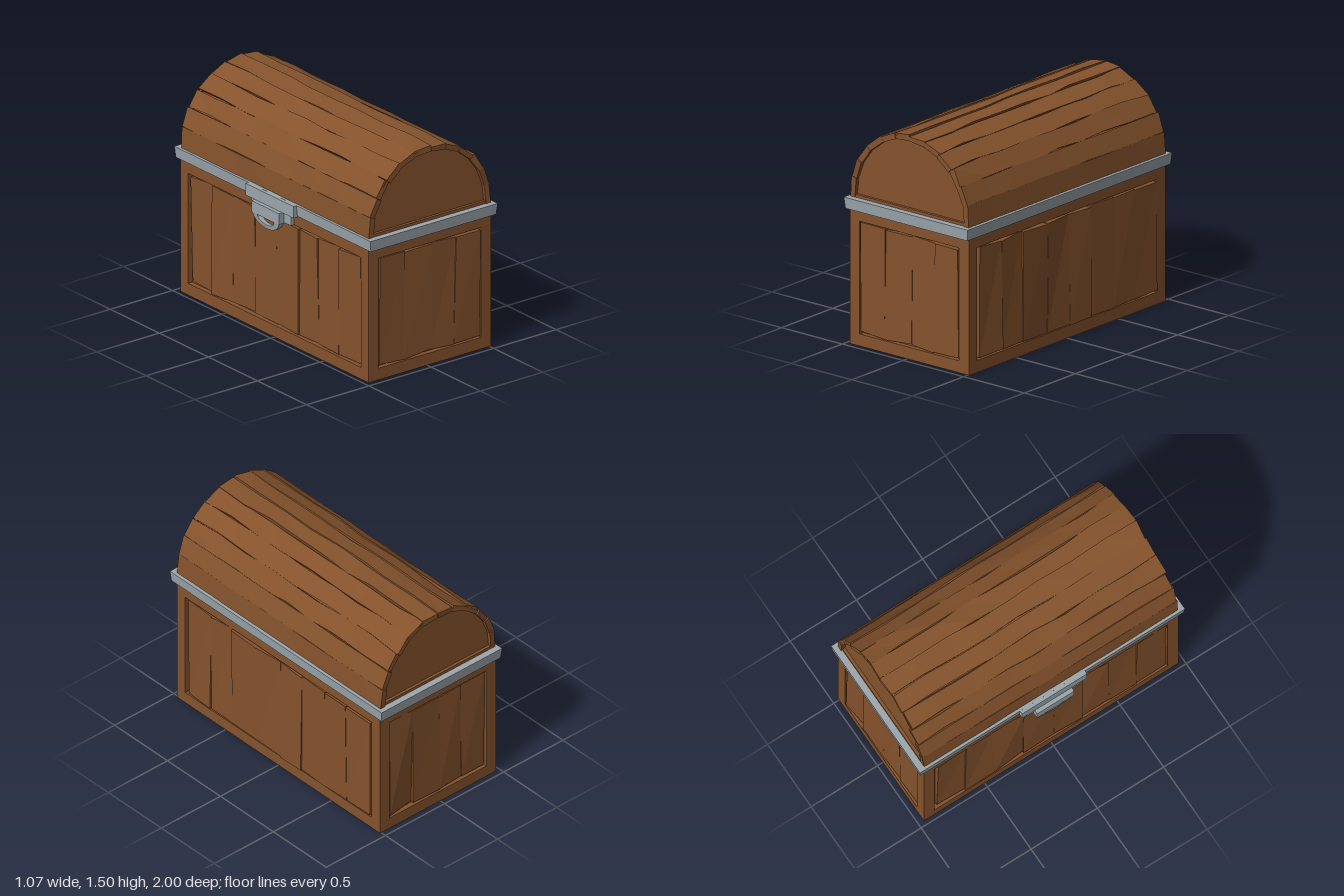
import * as THREE from 'three';

const wood = new THREE.MeshStandardMaterial({ color: 0x85532d });
wood.name = 'wood';
const metal = new THREE.MeshStandardMaterial({ color: 0x9ca7ac });
metal.name = 'metal';

const CX = 0.02; // the body sits slightly off centre to make room for the lock

// repeatable noise in -1..1
function noise(a, b = 0, c = 0) {
  const s = Math.sin(a * 12.99 + b * 78.23 + c * 37.72) * 43758.5453;
  return (s - Math.floor(s)) * 2 - 1;
}

function add(parent, name, geometry, material, x = 0, y = 0, z = 0) {
  const mesh = new THREE.Mesh(geometry, material);
  mesh.name = name;
  mesh.position.set(x, y, z);
  parent.add(mesh);
  return mesh;
}

// move every vertex by a rule and give each face its own flat normal
function reshape(geometry, rule) {
  const g = geometry.index ? geometry.toNonIndexed() : geometry;
  const p = g.attributes.position;
  const v = new THREE.Vector3();
  for (let i = 0; i < p.count; i++) {
    rule(v.fromBufferAttribute(p, i));
    p.setXYZ(i, v.x, v.y, v.z);
  }
  g.computeVertexNormals();
  return g;
}

function rectangle(x0, y0, x1, y1, Type = THREE.Shape) {
  return new Type([[x0, y0], [x1, y0], [x1, y1], [x0, y1]].map(p => new THREE.Vector2(...p)));
}

// half-ellipse arch standing on a straight foot
function arch(rx, top, foot, Type = THREE.Shape) {
  const pts = [];
  const spring = 0.99;
  for (let i = 0; i <= 12; i++) {
    const a = Math.PI * i / 12;
    pts.push(new THREE.Vector2(rx * Math.cos(a), Math.max(foot, spring + (top - spring) * Math.sin(a))));
  }
  if (foot < spring) pts.push(new THREE.Vector2(-rx, foot), new THREE.Vector2(rx, foot));
  return new Type(pts);
}

const extrude = (shape, depth) => new THREE.ExtrudeGeometry(shape, { depth, bevelEnabled: false });

// framed wall facing +z with uneven upright planks set in it
function wall(name, halfWidth, halfHole, edges, out, seed) {
  const group = new THREE.Group();
  group.name = name;
  const frame = rectangle(-halfWidth, 0, halfWidth, 0.92);
  frame.holes.push(rectangle(-halfHole, 0.08, halfHole, 0.83, THREE.Path));
  add(group, 'frame', extrude(frame, 0.035), wood, 0, 0, -0.035);
  for (let i = 0; i < edges.length - 1; i++) {
    const g = reshape(new THREE.BoxGeometry(1, 1, 1), v => {
      const right = v.x > 0 ? 1 : 0, up = v.y > 0 ? 1 : 0;
      const inner = i + right > 0 && i + right < edges.length - 1;
      v.x = edges[i + right] + (inner ? 0.013 * noise(i + right, up, seed) : 0.008 * (1 - 2 * right));
      v.y = up ? 0.818 + 0.011 * noise(i, right, seed + 3) : 0.092 + 0.011 * noise(i, right, seed + 5);
      v.z = v.z > 0 ? out - 0.012 + 0.011 * noise(i * 2 + right, up, seed + 7) : -0.05;
    });
    add(group, 'wallPlank', g, wood);
  }
  return group;
}

function buildBody() {
  const body = new THREE.Group();
  body.name = 'body';
  add(body, 'core', new THREE.BoxGeometry(0.91, 0.92, 1.85), wood, 0, 0.46, 0);
  const shortEdges = [-0.41, -0.2, 0.01, 0.2, 0.41];
  const longEdges = [-0.86, -0.64, -0.43, -0.2, 0.02, 0.23, 0.44, 0.64, 0.88];
  const front = wall('frontWall', 0.49, 0.41, shortEdges, 0.012, 1);
  front.position.z = 0.96;
  const back = wall('backWall', 0.49, 0.41, shortEdges, 0.0, 2);
  back.position.z = -0.96;
  back.rotation.y = Math.PI;
  const left = wall('leftWall', 0.926, 0.88, longEdges, 0.016, 3);
  left.position.x = 0.49;
  left.rotation.y = Math.PI / 2;
  const right = wall('rightWall', 0.926, 0.88, longEdges, 0.004, 4);
  right.position.x = -0.49;
  right.rotation.y = -Math.PI / 2;
  body.add(front, back, left, right);
  return body;
}

function buildLid() {
  const lid = new THREE.Group();
  lid.name = 'lid';
  add(lid, 'lidCore', extrude(arch(0.47, 1.465, 0.95), 1.87), wood, 0, 0, -0.935);

  // raised rim around each recessed end
  for (const z of [0.93, -0.955]) {
    const rim = arch(0.485, 1.48, 0.95);
    rim.holes.push(arch(0.458, 1.457, 1.0, THREE.Path));
    add(lid, 'endRim', extrude(rim, 0.025), wood, 0, 0, z);
  }

  // rough planks running along the curved top
  const count = 12, steps = 8;
  for (let i = 0; i < count; i++) {
    const low = i < 2 || i > count - 3;
    const rough = low ? 0.3 : 1;
    const g = reshape(new THREE.BoxGeometry(1, 1, 1, 1, 1, steps), v => {
      const side = v.x > 0 ? 0 : 1;
      const k = Math.round((v.z + 0.5) * steps);
      const atFoot = i + side === 0 || i + side === count;
      const wander = atFoot ? 0 : 0.022 * rough * noise(i, side, k);
      const a = Math.PI * (i + side) / count + wander;
      const lift = v.y > 0 ? 0.003 + rough * (0.006 * noise(i, side, 40) + 0.005 * noise(i + 20, side, k)) : -0.035;
      v.x = (0.488 + lift) * Math.cos(a);
      v.y = 0.99 + (0.5 + lift) * Math.sin(a) - (atFoot ? 0.03 : 0);
      v.z = v.z * 1.92 + (k === 0 || k === steps ? 0.01 * noise(i, side, k + 60) : 0.03 * noise(i, k, 9));
    });
    add(lid, 'lidPlank', g, wood);
  }
  return lid;
}

function buildLock() {
  const lock = new THREE.Group();
  lock.name = 'lock';
  add(lock, 'hingePlate', new THREE.BoxGeometry(0.04, 0.08, 0.49), metal, -0.49, 0.94, 0);
  add(lock, 'backPlate', new THREE.BoxGeometry(0.03, 0.08, 0.4), metal, -0.48, 0.87, 0);
  add(lock, 'clasp', new THREE.BoxGeometry(0.05, 0.075, 0.28), metal, -0.513, 0.863, -0.01);

  // hanging half-round handle, thinner towards the bottom
  const half = (r, h, Type) => new Type(Array.from({ length: 9 }, (_, i) => {
    const a = Math.PI * (1 + i / 8);
    return new THREE.Vector2(r * Math.cos(a), h * Math.sin(a));
  }));
  const loop = half(0.135, 0.082, THREE.Shape);
  loop.holes.push(new THREE.Path(half(0.085, 0.045, THREE.Path).getPoints().map(p => p.setY(p.y - 0.008))));
  const g = reshape(extrude(loop, 1), v => {
    const thickness = 0.045 + 0.3 * v.y;
    v.z = (v.z - 0.5) * thickness;
  });
  const handle = add(lock, 'handle', g, metal, -0.513, 0.83, -0.01);
  handle.rotation.y = -Math.PI / 2;
  return lock;
}

export function createModel() {
  const chest = new THREE.Group();
  chest.name = 'chest';
  const body = buildBody();
  const lid = buildLid();
  body.position.x = lid.position.x = CX;
  chest.add(body, lid, buildLock());

  // metal band between body and lid, slightly wider at its top
  const band = reshape(new THREE.BoxGeometry(1.02, 0.075, 2), v => {
    if (v.y < 0) { v.x *= 0.985; v.z *= 0.993; }
  });
  add(chest, 'band', band, metal, 0.023, 0.943, 0);
  return chest;
}
